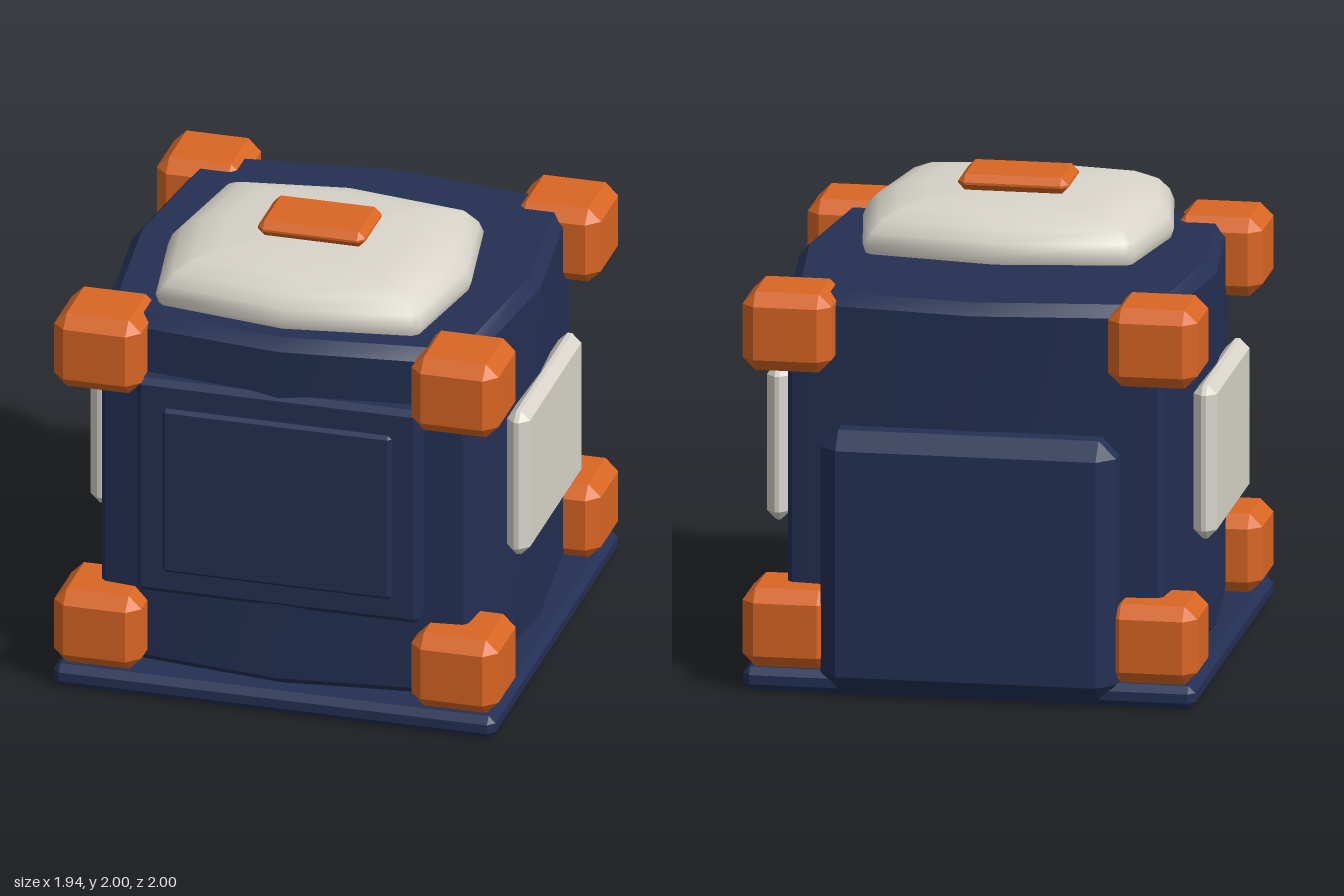
import * as THREE from 'three';
import { toCreasedNormals } from 'three/addons/utils/BufferGeometryUtils.js';
import { ConvexGeometry } from 'three/addons/geometries/ConvexGeometry.js';

const CZ = 0.03; // middle of the body in z

// Box between two corners, with all edges cut by c
function chamferBox([x0, y0, z0], [x1, y1, z1], c) {
  const half = [(x1 - x0) / 2, (y1 - y0) / 2, (z1 - z0) / 2];
  const mid = [(x1 + x0) / 2, (y1 + y0) / 2, (z1 + z0) / 2];
  const points = [];
  for (let corner = 0; corner < 8; corner++) {
    for (let axis = 0; axis < 3; axis++) {
      const p = half.map((h, i) => {
        const size = i === axis ? h : h - c;
        return mid[i] + (corner & (1 << i) ? size : -size);
      });
      points.push(new THREE.Vector3(...p));
    }
  }
  return new ConvexGeometry(points);
}

// Stack of square loops whose four sides bow outwards; rings are [y, scale]
function bowedBlock(hx, hz, bow, cut, cz, rings, crease) {
  const quarter = [[hx + bow, 0], [hx, hz - cut], [hx - cut, hz]];
  const plan = [
    ...quarter,
    [0, hz + bow],
    [-hx + cut, hz], [-hx, hz - cut],
    [-hx - bow, 0],
    [-hx, -hz + cut], [-hx + cut, -hz],
    [0, -hz - bow],
    [hx - cut, -hz], [hx, -hz + cut],
  ];
  const n = plan.length;
  const positions = [];
  const index = [];
  for (const [y, s] of rings) {
    for (const [x, z] of plan) positions.push(x * s, y, cz + z * s);
  }
  const bottom = rings.length * n;
  const top = bottom + 1;
  positions.push(0, rings[0][0], cz, 0, rings[rings.length - 1][0], cz);
  for (let i = 0; i < n; i++) {
    const j = (i + 1) % n;
    for (let r = 0; r < rings.length - 1; r++) {
      const a = r * n + i, b = r * n + j;
      index.push(a, a + n, b, b, a + n, b + n);
    }
    const last = (rings.length - 1) * n;
    index.push(bottom, i, j, top, last + j, last + i);
  }
  const geometry = new THREE.BufferGeometry();
  geometry.setAttribute('position', new THREE.Float32BufferAttribute(positions, 3));
  geometry.setIndex(index);
  return toCreasedNormals(geometry, crease);
}

export function createModel() {
  const navy = new THREE.MeshStandardMaterial({ color: 0x243054 });
  const orange = new THREE.MeshStandardMaterial({ color: 0xd96623 });
  const ivory = new THREE.MeshStandardMaterial({ color: 0xd8d4ca });
  navy.name = 'navy';
  orange.name = 'orange';
  ivory.name = 'ivory';

  const model = new THREE.Group();
  model.name = 'crate';
  const add = (name, geometry, material) => {
    const mesh = new THREE.Mesh(geometry, material);
    mesh.name = name;
    model.add(mesh);
  };

  // Body and base
  add('body', bowedBlock(0.8, 0.8, 0.09, 0.02, CZ,
    [[0.08, 0.95], [0.13, 1], [1.65, 1], [1.7, 0.95]], 0.6), navy);
  add('basePlate', chamferBox([-0.965, 0, -0.935], [0.965, 0.1, 1], 0.03), navy);

  // Front panel in two steps, and the pack on the back
  add('frontFrame', chamferBox([-0.62, 0.46, 0.78], [0.62, 1.45, 0.93], 0.025), navy);
  add('frontPanel', chamferBox([-0.5, 0.57, 0.85], [0.5, 1.33, 0.95], 0.015), navy);
  add('backPack', chamferBox([-0.63, 0.02, -1], [0.63, 1.15, -0.77], 0.075), navy);

  // Lid and its button
  add('lid', bowedBlock(0.58, 0.505, 0.083, 0.025, 0.28,
    [[1.73, 0.98], [1.77, 1], [1.82, 0.97], [1.87, 0.9], [1.91, 0.77], [1.932, 0.6]], 1.2), ivory);
  add('lidButton', chamferBox([-0.235, 1.93, 0.125], [0.235, 2, 0.435], 0.03), orange);

  // Side panels and corner guards
  for (const side of [-1, 1]) {
    const span = (a, b) => (side > 0 ? [a, b] : [-b, -a]);
    const label = side > 0 ? 'left' : 'right';
    const [p0, p1] = span(0.86, 0.96);
    add(label + 'SidePanel',
      chamferBox([p0, 0.6, -0.4], [p1, 1.268, 0.465], 0.04), ivory);
    const [c0, c1] = span(0.59, 0.97);
    for (const [level, y0, y1] of [['Lower', 0.1, 0.44], ['Upper', 1.385, 1.725]]) {
      for (const [end, z0, z1] of [['Front', 0.625, 1], ['Back', -0.945, -0.57]]) {
        add(label + level + end + 'Guard',
          chamferBox([c0, y0, z0], [c1, y1, z1], 0.055), orange);
      }
    }
  }
  return model;
}
